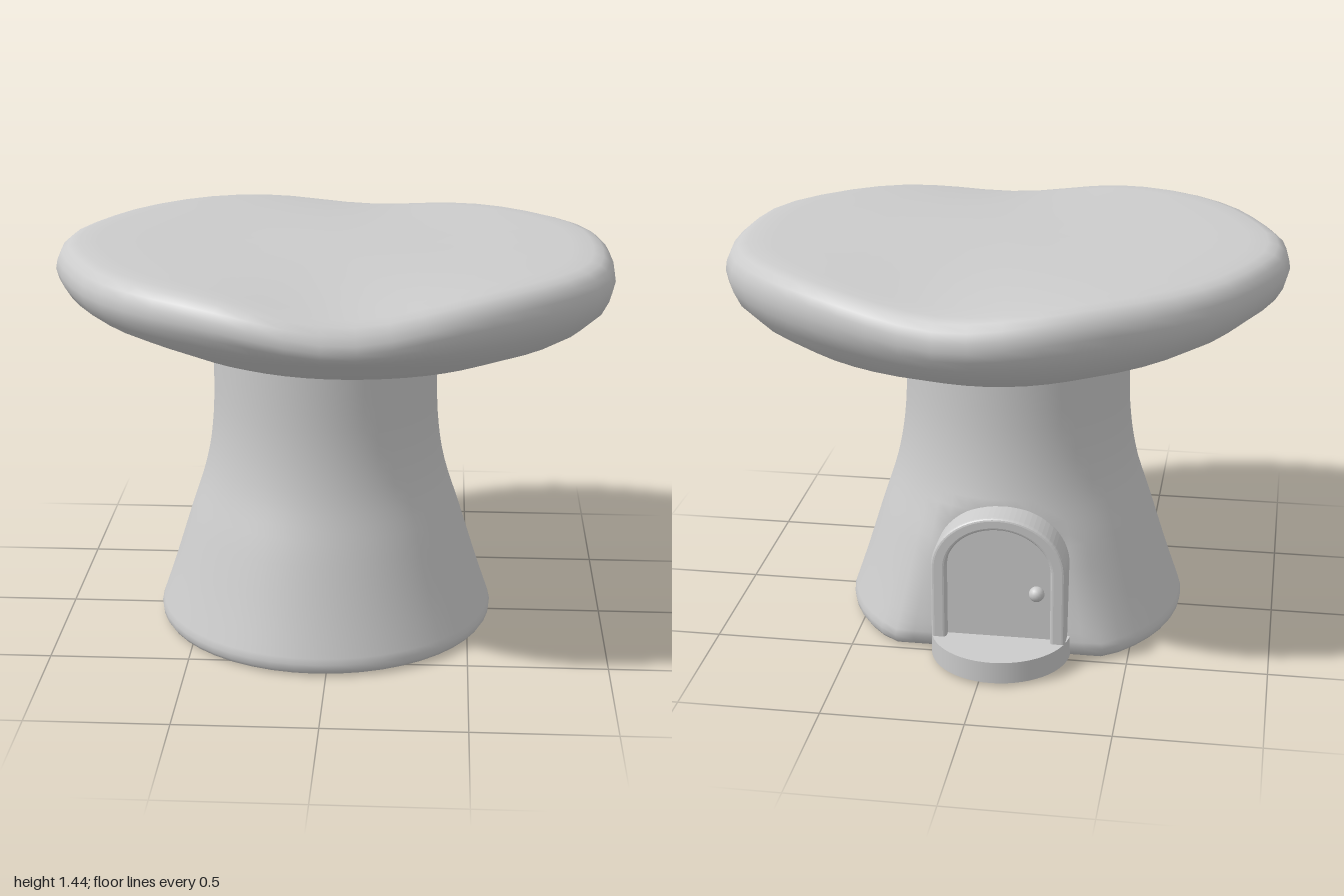
import * as THREE from 'three';
import { mergeVertices } from 'three/addons/utils/BufferGeometryUtils.js';

const material = new THREE.MeshStandardMaterial({ color: 0xcccccc, side: THREE.DoubleSide });
const CENTRE_X = -0.035;

function addMesh(parent, name, geometry, x = 0, y = 0, z = 0) {
  const mesh = new THREE.Mesh(geometry, material);
  mesh.name = name;
  mesh.position.set(x, y, z);
  parent.add(mesh);
  return mesh;
}

// Moves every vertex by a rule, then welds seams and smooths the normals
function reshape(geometry, rule) {
  const pos = geometry.attributes.position;
  const v = new THREE.Vector3();
  for (let i = 0; i < pos.count; i++) {
    v.fromBufferAttribute(pos, i);
    rule(v);
    pos.setXYZ(i, v.x, v.y, v.z);
  }
  geometry.deleteAttribute('uv');
  geometry.deleteAttribute('normal');
  const welded = mergeVertices(geometry, 1e-4);
  welded.computeVertexNormals();
  return welded;
}

const points = (list) => list.map(([x, y]) => new THREE.Vector2(x, y));

// Cap: a rounded dish stretched to an uneven outline, dipping at front and back
function capGeometry() {
  const half = [[1, 0], [0.995, 0.12], [0.97, 0.27], [0.9, 0.42], [0.8, 0.53], [0.61, 0.69], [0.4, 0.805],
    [0.2, 0.87], [-0.03, 0.9], [-0.25, 0.875], [-0.45, 0.8], [-0.65, 0.68], [-0.8, 0.53], [-0.92, 0.31],
    [-0.985, 0.15], [-1, 0]];
  const radiusAt = (angle) => {
    const a = Math.abs(angle);
    for (let i = 1; i < half.length; i++) {
      const [x0, z0] = half[i - 1], [x1, z1] = half[i];
      const a0 = Math.atan2(z0, x0), a1 = Math.atan2(z1, x1);
      if (a <= a1 + 1e-6) {
        const t = (a - a0) / (a1 - a0);
        return THREE.MathUtils.lerp(Math.hypot(x0, z0), Math.hypot(x1, z1), t);
      }
    }
    return 1;
  };
  const profile = points([[0, 1.0], [0.2, 1.0], [0.4, 1.015], [0.6, 1.06], [0.8, 1.14], [0.9, 1.195], [0.965, 1.25],
    [0.99, 1.295], [1, 1.335], [0.994, 1.37], [0.98, 1.4], [0.955, 1.42], [0.92, 1.43], [0.85, 1.433],
    [0.7, 1.432], [0.5, 1.43], [0.25, 1.425], [0, 1.425]]);
  return reshape(new THREE.LatheGeometry(profile, 48), (v) => {
    const f = Math.hypot(v.x, v.z);
    const r = f > 1e-5 ? radiusAt(Math.atan2(v.z, v.x)) : 0;
    v.x *= r;
    v.z *= r;
    const upper = THREE.MathUtils.smoothstep(v.y, 1.12, 1.4);
    const dip = Math.exp(-(((v.x - 0.08) / 0.34) ** 2)) * f * f * (v.z > 0 ? 0.075 : 0.06);
    v.y -= dip * upper;
    v.y += (1 - upper) * (0.03 * v.z - 0.035 * v.x) * Math.min(1, 2 * (1.05 - f * 0.7));
    v.y += upper * 0.012 * f * (-v.x * 0.6 - v.z * 0.4);
  });
}

// Stem: a hollow flared tube, pressed flat at the back behind the door
function stemGeometry() {
  const outer = new THREE.SplineCurve(points([[0.62, 0.045], [0.567, 0.2], [0.504, 0.4], [0.441, 0.6],
    [0.412, 0.8], [0.408, 1.06]])).getPoints(24);
  const inner = outer.map((p) => new THREE.Vector2(p.x - 0.03, p.y)).reverse();
  const foot = points([[0.56, 0.015], [0.59, 0], [0.608, 0.008], [0.617, 0.022]]);
  return reshape(new THREE.LatheGeometry([...inner, ...foot, ...outer], 48), (v) => {
    const wall = Math.hypot(v.x, v.z);
    const isInner = wall < outerRadius(outer, v.y) - 0.02;
    let limit = v.y < 0.45 ? 0.49 - 0.16 * Math.max(0, v.y - 0.08) : 0.43 + 0.3 * (v.y - 0.45);
    if (v.y < 0.04) limit -= (0.04 - v.y) * 0.6;
    if (isInner) limit -= 0.03;
    v.z = Math.max(v.z, -limit);
  });
}

function outerRadius(curve, y) {
  let best = curve[0];
  for (const p of curve) if (Math.abs(p.y - y) < Math.abs(best.y - y)) best = p;
  return best.x;
}

// Round-topped outline standing on y = 0
function arch(Type, halfWidth, springY) {
  const path = new Type();
  path.moveTo(-halfWidth, 0);
  path.lineTo(halfWidth, 0);
  path.lineTo(halfWidth, springY);
  path.absarc(0, springY, halfWidth, 0, Math.PI, false);
  path.lineTo(-halfWidth, 0);
  return path;
}

// Door frame outline: an arch open at the bottom
function frameShape(outerHalf, innerHalf, springY) {
  const shape = new THREE.Shape();
  shape.moveTo(outerHalf, 0);
  shape.lineTo(outerHalf, springY);
  shape.absarc(0, springY, outerHalf, 0, Math.PI, false);
  shape.lineTo(-outerHalf, 0);
  shape.lineTo(-innerHalf, 0);
  shape.lineTo(-innerHalf, springY);
  shape.absarc(0, springY, innerHalf, Math.PI, 0, true);
  shape.lineTo(innerHalf, 0);
  shape.closePath();
  return shape;
}

export function createModel() {
  const model = new THREE.Group();
  model.name = 'mushroomHouse';

  addMesh(model, 'cap', capGeometry());
  addMesh(model, 'stem', stemGeometry(), CENTRE_X);

  // Door at the back
  const door = new THREE.Group();
  door.name = 'door';
  door.position.set(CENTRE_X - 0.01, 0, 0);
  model.add(door);

  const frame = new THREE.ExtrudeGeometry(frameShape(0.228, 0.198, 0.325), {
    depth: 0.105, bevelEnabled: true, bevelThickness: 0.012, bevelSize: 0.012, bevelSegments: 3, curveSegments: 20,
  });
  addMesh(door, 'doorFrame', frame, 0, 0.08, -0.548).scale.y = 0.856;

  const panel = new THREE.ExtrudeGeometry(arch(THREE.Shape, 0.2, 0.325), {
    depth: 0.07, bevelEnabled: false, curveSegments: 20,
  });
  addMesh(door, 'doorPanel', panel, 0, 0.08, -0.525).scale.y = 0.856;

  addMesh(door, 'doorKnob', new THREE.SphereGeometry(0.028, 16, 12), -0.135, 0.27, -0.532);

  // Half-round doorstep
  const step = new THREE.CylinderGeometry(0.25, 0.25, 0.08, 28, 1, false, Math.PI / 2, Math.PI);
  addMesh(door, 'doorStep', step, 0, 0.05, -0.475);

  return model;
}
